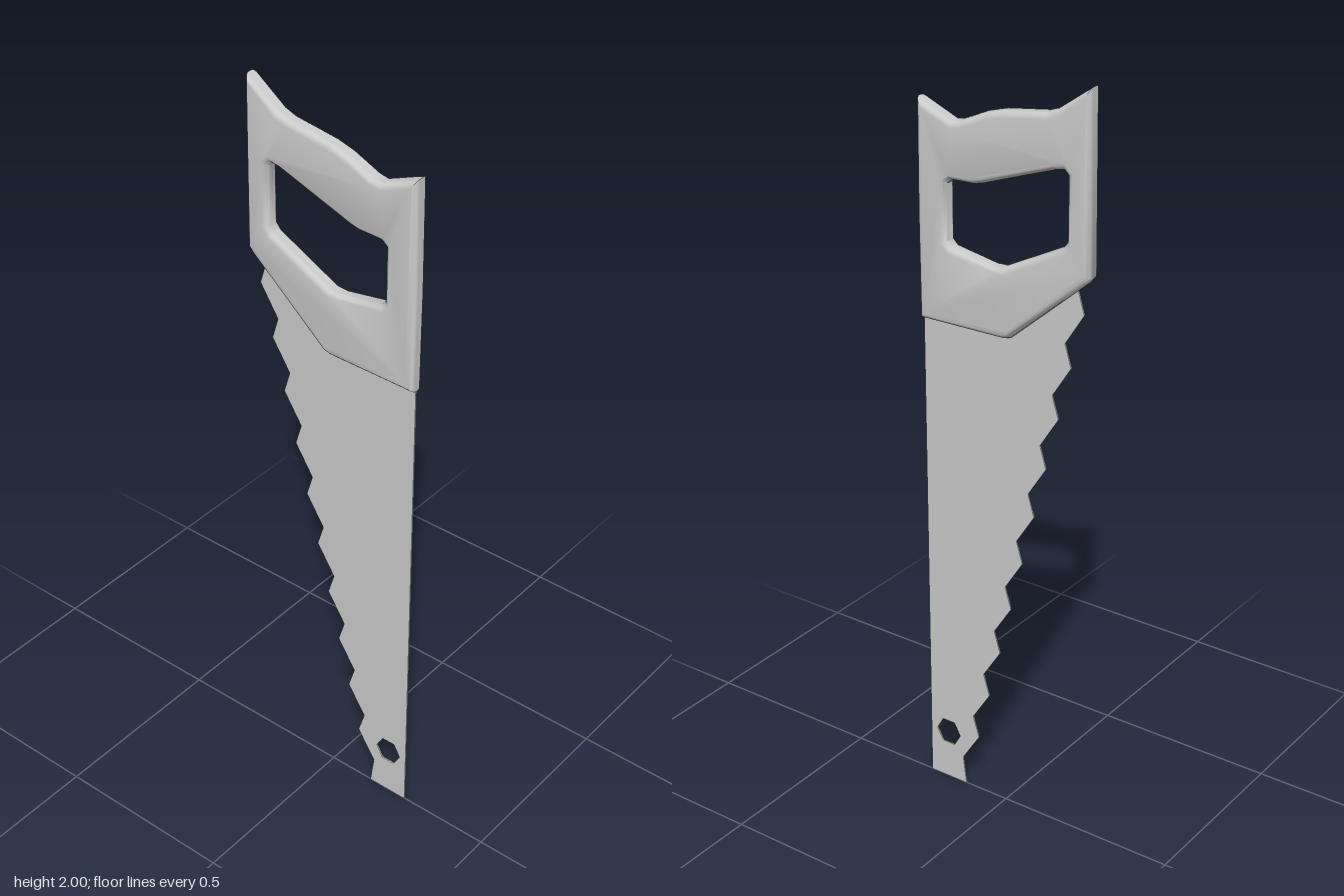
import * as THREE from 'three';
import { toCreasedNormals } from 'three/addons/utils/BufferGeometryUtils.js';

const points = (list) => list.map(([x, y]) => new THREE.Vector2(x, y));

function addPart(group, name, geometry) {
  const mesh = new THREE.Mesh(geometry, new THREE.MeshStandardMaterial({ color: 0xcccccc }));
  mesh.name = name;
  group.add(mesh);
}

// Rounded grip plate with a hand opening
function handleGeometry() {
  const shape = new THREE.Shape(points([
    [-0.25, 1.55], [-0.235, 1.532], [-0.02, 1.347], [0, 1.341], [0.248, 1.338],
    [0.25, 1.6], [0.247, 1.898], [0.225, 1.89], [0.145, 1.857], [0.12, 1.862],
    [0.05, 1.893], [0, 1.907], [-0.12, 1.924], [-0.15, 1.935], [-0.243, 2.0],
  ]));
  shape.holes.push(new THREE.Path(points([
    [-0.182, 1.625], [-0.182, 1.785], [-0.172, 1.795], [-0.145, 1.79],
    [0.06, 1.718], [0.085, 1.712], [0.15, 1.71], [0.162, 1.7],
    [0.162, 1.555], [0.15, 1.543], [0.03, 1.522], [0, 1.524], [-0.17, 1.61],
  ])));
  const bevel = 0.018;
  const geometry = new THREE.ExtrudeGeometry(shape, {
    depth: 0.008, bevelThickness: bevel, bevelSize: bevel, bevelOffset: -bevel, bevelSegments: 5,
  });
  geometry.translate(0, 0, -0.004);
  return toCreasedNormals(geometry, 0.8);
}

// Thin tapered blade with a toothed edge and a hexagonal hanging hole
function bladeGeometry() {
  const outline = [[0.13, 0], [0.246, 0], [0.246, 1.45], [0, 1.45], [-0.19, 1.57], [-0.207, 1.51]];
  for (let i = 0; i < 10; i++) {
    const x = -0.225 + 0.0347 * i, y = 1.45 - 0.143 * i;
    outline.push([x, y], [x + 0.053, y - 0.083]);
  }
  const shape = new THREE.Shape(points(outline));
  const hole = [];
  for (let i = 0; i < 6; i++) {
    const a = -i * Math.PI / 3;
    hole.push([0.188 + 0.038 * Math.cos(a), 0.143 + 0.04 * Math.sin(a)]);
  }
  shape.holes.push(new THREE.Path(points(hole)));
  const geometry = new THREE.ExtrudeGeometry(shape, { depth: 0.004, bevelEnabled: false });
  geometry.translate(0, 0, -0.002);
  return geometry;
}

export function createModel() {
  const saw = new THREE.Group();
  saw.name = 'handSaw';
  addPart(saw, 'handle', handleGeometry());
  addPart(saw, 'blade', bladeGeometry());
  return saw;
}
